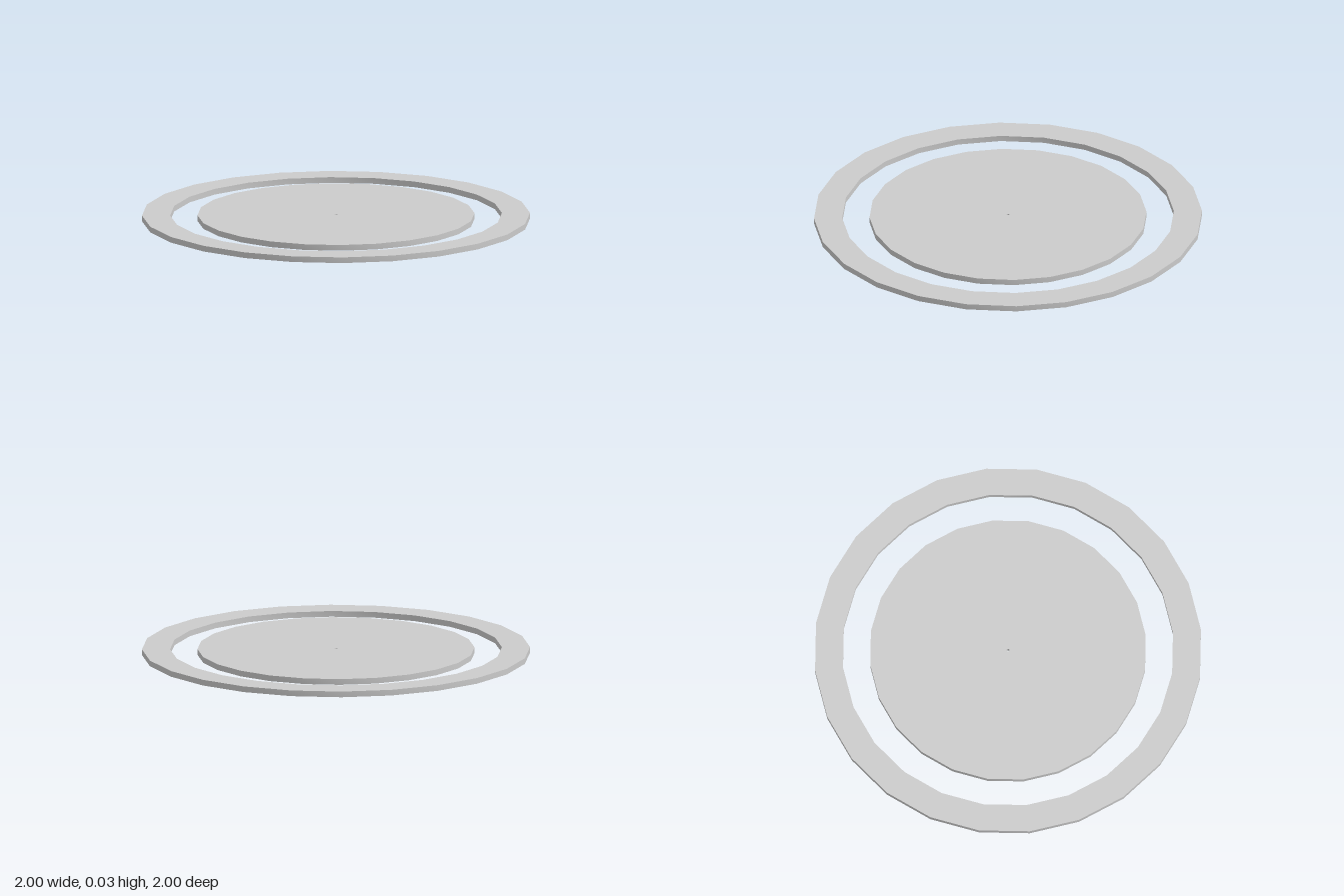
import * as THREE from 'three';
import { toCreasedNormals } from 'three/addons/utils/BufferGeometryUtils.js';

const SIDES = 24;
const HEIGHT = 0.03;

// Flat 24-sided annulus, smooth around its walls and sharp at its rims
function annulus(name, inner, outer, material) {
  const profile = [
    [outer, 0], [outer, HEIGHT], [inner, HEIGHT], [inner, 0], [outer, 0],
  ].map(([r, y]) => new THREE.Vector2(r, y));
  const geometry = toCreasedNormals(new THREE.LatheGeometry(profile, SIDES), Math.PI / 6);
  const mesh = new THREE.Mesh(geometry, material);
  mesh.name = name;
  return mesh;
}

export function createModel() {
  const model = new THREE.Group();
  model.name = 'discAndRing';
  const grey = new THREE.MeshStandardMaterial({ color: 0xcccccc });

  // Outer ring, separated by a gap from the disc
  model.add(annulus('outerRing', 0.855, 1, grey));
  // Inner disc with a pinhole at its centre
  model.add(annulus('centreDisc', 0.007, 0.714, grey));
  return model;
}
